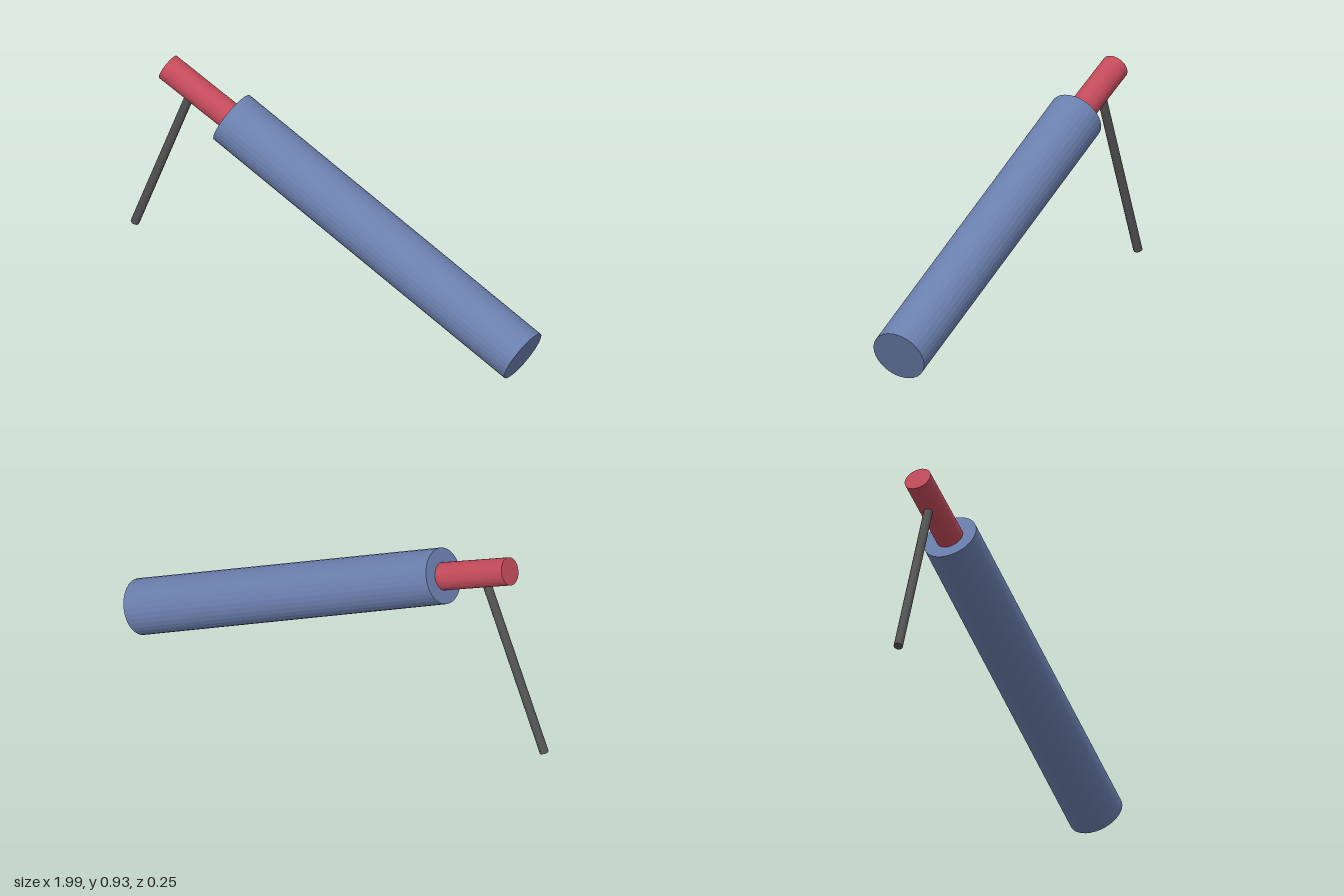
import * as THREE from 'three';

// Capped faceted cylinder running between two points
function rod(name, from, to, radius, sides, color) {
  const a = new THREE.Vector3(...from);
  const b = new THREE.Vector3(...to);
  const axis = b.clone().sub(a);
  const mesh = new THREE.Mesh(
    new THREE.CylinderGeometry(radius, radius, axis.length(), sides),
    new THREE.MeshStandardMaterial({ color, flatShading: true })
  );
  mesh.name = name;
  mesh.position.copy(a).add(b).multiplyScalar(0.5);
  mesh.quaternion.setFromUnitVectors(new THREE.Vector3(0, 1, 0), axis.normalize());
  return mesh;
}

export function createModel() {
  const model = new THREE.Group();
  model.name = 'tiltedCylinderOnProp';

  // Long main barrel, its low end resting on the ground
  model.add(rod('barrel', [0.948, 0.112, -0.009], [-0.494, 0.752, 0.009], 0.117, 32, 0x6b7fae));

  // Narrow neck continuing out of the raised end
  model.add(rod('neck', [-0.485, 0.746, 0.009], [-0.811, 0.882, 0.012], 0.058, 32, 0xc24a5a));

  // Thin prop holding up the neck
  model.add(rod('propLeg', [-0.981, 0.053, 0.004], [-0.69, 0.815, 0.01], 0.019, 12, 0x555555));

  return model;
}
